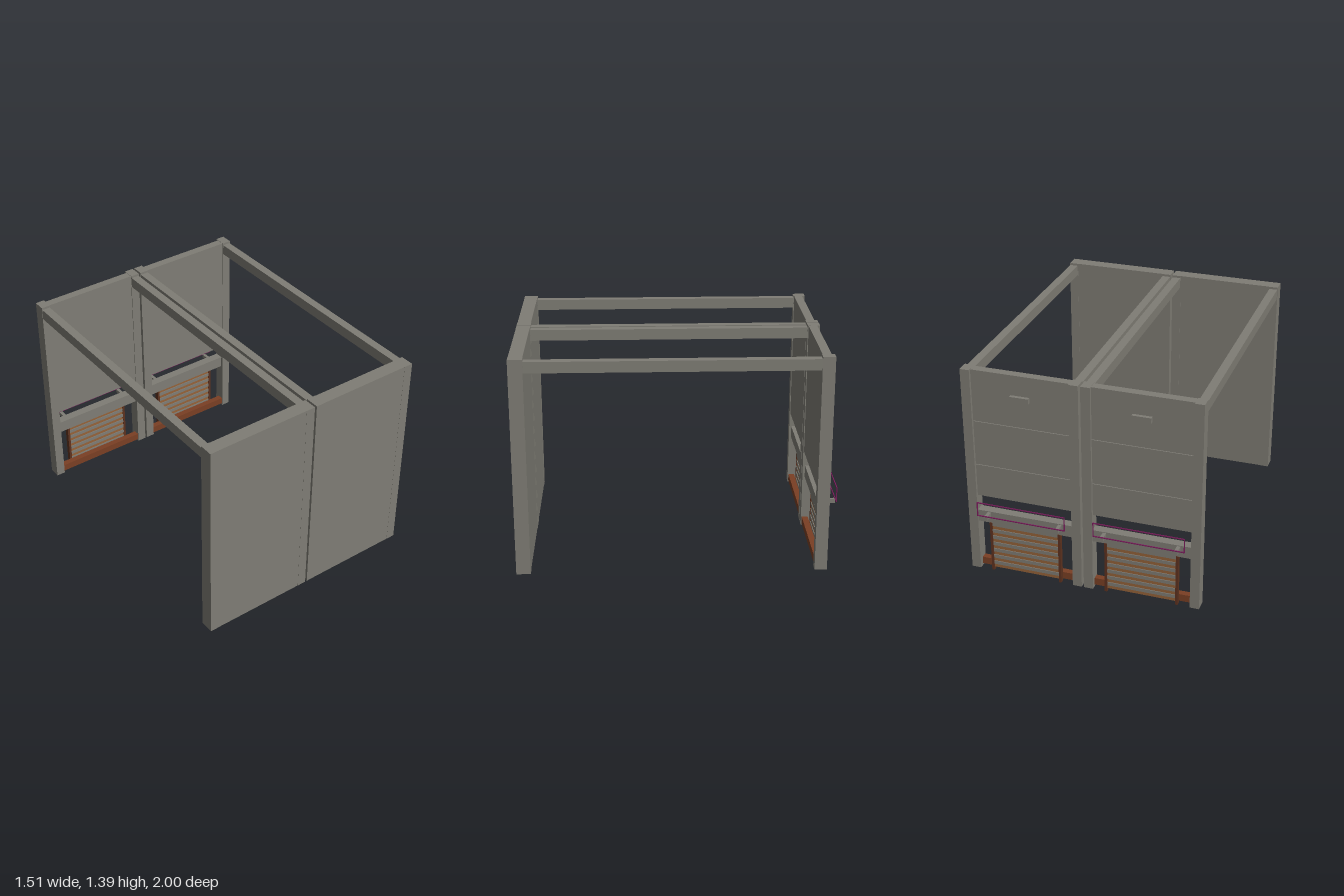
import * as THREE from 'three';

const mat = (name, color) => {
  const m = new THREE.MeshStandardMaterial({ color });
  m.name = name;
  return m;
};

export function createModel() {
  const concrete = mat('concrete grey', 0x7f7d75);
  const rust = mat('rust brown', 0x7a3f24);
  const darkRust = mat('dark rust', 0x5e321f);
  const wood = mat('warm wood', 0x956239);
  const purple = mat('purple', 0x7a1c5c);

  // Box given by its limits on each axis
  const box = (parent, name, material, [x0, x1], [y0, y1], [z0, z1]) => {
    const mesh = new THREE.Mesh(new THREE.BoxGeometry(x1 - x0, y1 - y0, z1 - z0), material);
    mesh.position.set((x0 + x1) / 2, (y0 + y1) / 2, (z0 + z1) / 2);
    mesh.name = name;
    parent.add(mesh);
  };

  // One bay, built around its own centre line
  const createBay = (name) => {
    const bay = new THREE.Group();
    bay.name = name;
    const half = 0.373, inner = 0.313;

    // Corner posts and roof beams
    for (const s of [-1, 1]) {
      const span = (a, b) => (s > 0 ? [a, b] : [-b, -a]);
      box(bay, 'frontPost', concrete, span(inner, half), [0, 1.395], [0.91, 1]);
      box(bay, 'backPost', concrete, span(inner, half), [0, 1.395], [-0.943, -0.865]);
      box(bay, 'roofBeam', concrete, span(0.316, 0.37), [1.31, 1.38], [-0.865, 0.91]);
    }

    // Solid front wall
    box(bay, 'frontWall', concrete, [-inner, inner], [0, 1.395], [0.912, 0.999]);

    // Upper back wall: core slab and three facing panels with narrow joints
    box(bay, 'backWallCore', concrete, [-inner, inner], [0.53, 1.393], [-0.915, -0.87]);
    for (const [y0, y1] of [[0.53, 0.748], [0.752, 1.048], [1.052, 1.393]])
      box(bay, 'backWallPanel', concrete, [-inner, inner], [y0, y1], [-0.925, -0.915]);
    box(bay, 'wallPlate', concrete, [-0.06, 0.06], [1.228, 1.262], [-0.948, -0.925]);

    // Lintel over the door, with brackets
    box(bay, 'lintel', concrete, [-inner, inner], [0.35, 0.43], [-0.938, -0.88]);
    for (const x of [-0.235, 0.235])
      box(bay, 'railBracket', concrete, [x - 0.011, x + 0.011], [0.4, 0.425], [-0.996, -0.938]);

    // Thin rectangular rail frame
    const rz = [-1, -0.994], t = 0.006;
    for (const y of [0.424, 0.516])
      box(bay, 'railBar', purple, [-0.29, 0.29], [y, y + t], rz);
    for (const x of [-0.29, 0.29 - t])
      box(bay, 'railEnd', purple, [x, x + t], [0.43, 0.516], rz);

    // Sill beam
    box(bay, 'sillBeam', rust, [-inner, inner], [0.012, 0.06], [-0.91, -0.87]);

    // Slatted door between two slim jambs
    for (const x of [-0.228, 0.228])
      box(bay, 'doorJamb', darkRust, [x - 0.008, x + 0.008], [0, 0.352], [-0.942, -0.912]);
    box(bay, 'doorBacking', wood, [-0.22, 0.22], [0.02, 0.35], [-0.932, -0.918]);
    const slats = 7, pitch = 0.33 / slats;
    for (let i = 0; i < slats; i++) {
      const y = 0.02 + (i + 0.5) * pitch;
      box(bay, 'doorSlat', concrete, [-0.22, 0.22], [y, y + pitch * 0.5], [-0.937, -0.913]);
    }
    return bay;
  };

  const model = new THREE.Group();
  model.name = 'twoBayStructure';
  for (const [name, x] of [['rightBay', -0.38], ['leftBay', 0.38]]) {
    const bay = createBay(name);
    bay.position.x = x;
    model.add(bay);
  }
  return model;
}
